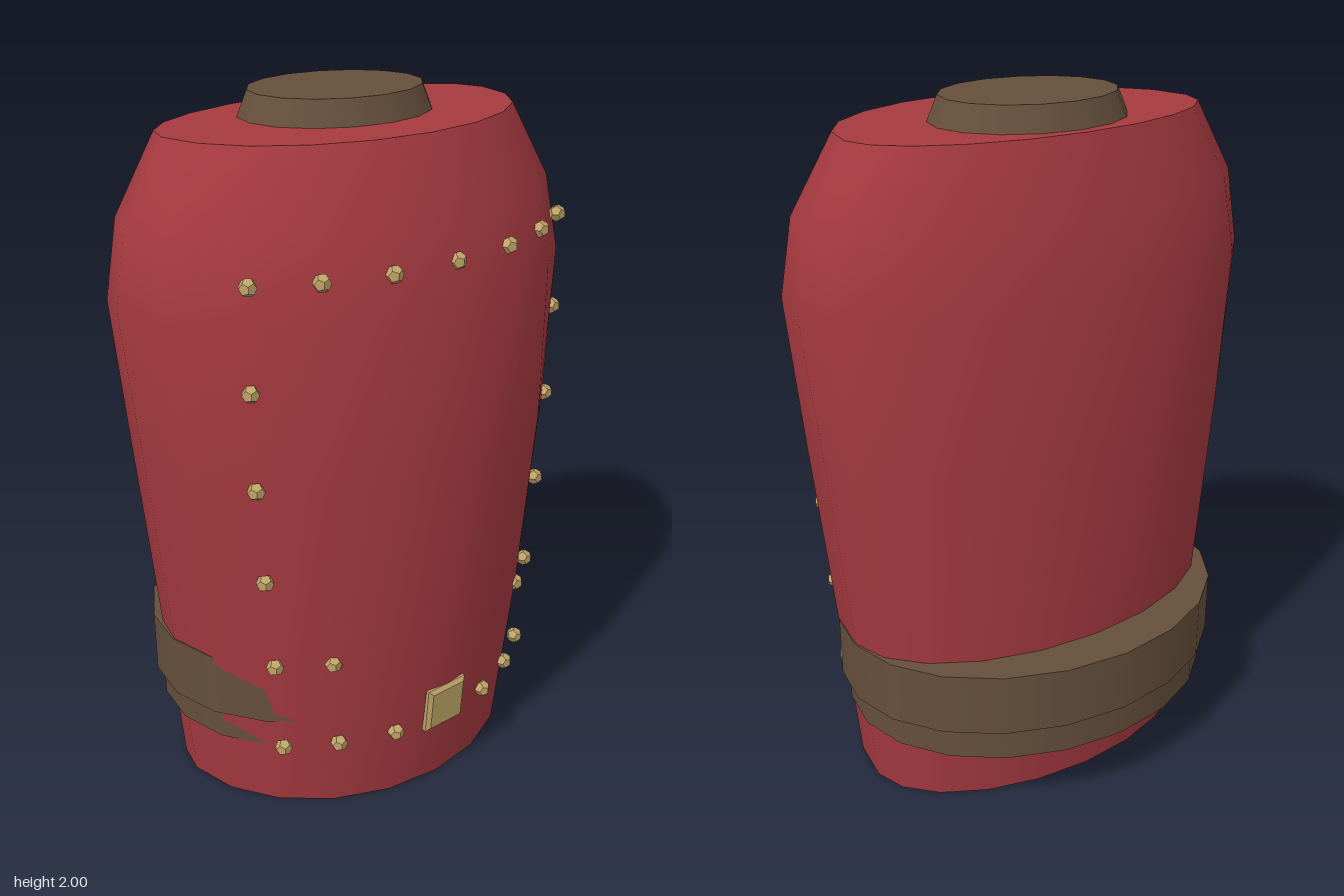
import * as THREE from 'three';
import { toCreasedNormals } from 'three/addons/utils/BufferGeometryUtils.js';

const AXIS_Z = -0.035; // depth of the vertical axis shared by body, neck and bands
const red = new THREE.MeshStandardMaterial({ color: 0xa63a40 });
const leather = new THREE.MeshStandardMaterial({ color: 0x66503c });
const brass = new THREE.MeshStandardMaterial({ color: 0xc0a468, flatShading: true });

// Rings of the body: height, half width, front depth, back depth
const RINGS = [
  [0, 0.555, 0.475, 0.315],
  [0.25, 0.58, 0.503, 0.335],
  [0.5, 0.61, 0.528, 0.355],
  [1.05, 0.672, 0.555, 0.37],
  [1.5, 0.725, 0.527, 0.355],
  [1.72, 0.69, 0.475, 0.32],
  [1.93, 0.565, 0.39, 0.265],
];

function add(parent, name, geometry, material, x = 0, y = 0, z = 0) {
  const mesh = new THREE.Mesh(geometry, material);
  mesh.name = name;
  mesh.position.set(x, y, z);
  parent.add(mesh);
  return mesh;
}

// Lofted oval, deeper at the front than at the back
function bodyGeometry() {
  const n = RINGS.length - 1;
  const geometry = new THREE.CylinderGeometry(1, 1, n, 20, n);
  const p = geometry.attributes.position;
  for (let i = 0; i < p.count; i++) {
    const [y, w, front, back] = RINGS[Math.round(p.getY(i) + n / 2)];
    const z = p.getZ(i);
    p.setXYZ(i, p.getX(i) * w, y, z * (z > 0 ? front : back));
  }
  return toCreasedNormals(geometry, 0.85);
}

// Oval band between two heights
function oval(topX, bottomX, depthRatio, y0, y1, sides) {
  const geometry = new THREE.CylinderGeometry(topX, bottomX, y1 - y0, sides);
  geometry.scale(1, 1, depthRatio);
  geometry.translate(0, (y0 + y1) / 2, 0);
  return geometry;
}

export function createModel() {
  const model = new THREE.Group();
  model.name = 'paddedTorso';

  add(model, 'body', bodyGeometry(), red, 0, 0, AXIS_Z);
  add(model, 'collar', oval(0.262, 0.297, 0.8, 1.92, 2, 16), leather, 0, 0, AXIS_Z);

  // Two belts that emerge from the body at the sides and back
  add(model, 'upperBelt', oval(0.612, 0.61, 0.797, 0.295, 0.48, 20), leather, 0, 0, AXIS_Z);
  add(model, 'lowerBelt', oval(0.588, 0.585, 0.81, 0.2, 0.3, 20), leather, 0, 0, AXIS_Z);

  // Buckle plate with bevelled rim
  const plate = new THREE.Shape([[-1, -1], [1, -1], [1, 1], [-1, 1]]
    .map(([x, y]) => new THREE.Vector2(x * 0.06, y * 0.06)));
  const buckle = new THREE.ExtrudeGeometry(plate, {
    depth: 0.035, bevelEnabled: true, bevelSize: 0.012, bevelThickness: 0.01, bevelSegments: 1,
  });
  add(model, 'buckle', buckle, brass, 0, 0.26, 0.435).rotation.x = 0.08;

  // Studs across the chest, down both flanks and along the hem
  const studs = new THREE.Group();
  studs.name = 'studs';
  model.add(studs);
  const studGeometry = new THREE.DodecahedronGeometry(0.025);
  const layout = [
    [0, 1.615, 0.462],
    [0.205, 1.615, 0.447], [0.39, 1.615, 0.387], [0.552, 1.615, 0.3],
    [0.552, 1.335, 0.3], [0.543, 1.06, 0.3], [0.522, 0.78, 0.3],
    [0.495, 0.503, 0.3], [0.36, 0.503, 0.39],
    [0.47, 0.225, 0.3], [0.335, 0.225, 0.385], [0.175, 0.225, 0.45],
  ];
  for (const [x, y, z] of layout) {
    for (const side of x ? [1, -1] : [1]) {
      add(studs, 'stud', studGeometry, brass, x * side, y, z).rotation.y = side * x;
    }
  }
  return model;
}
